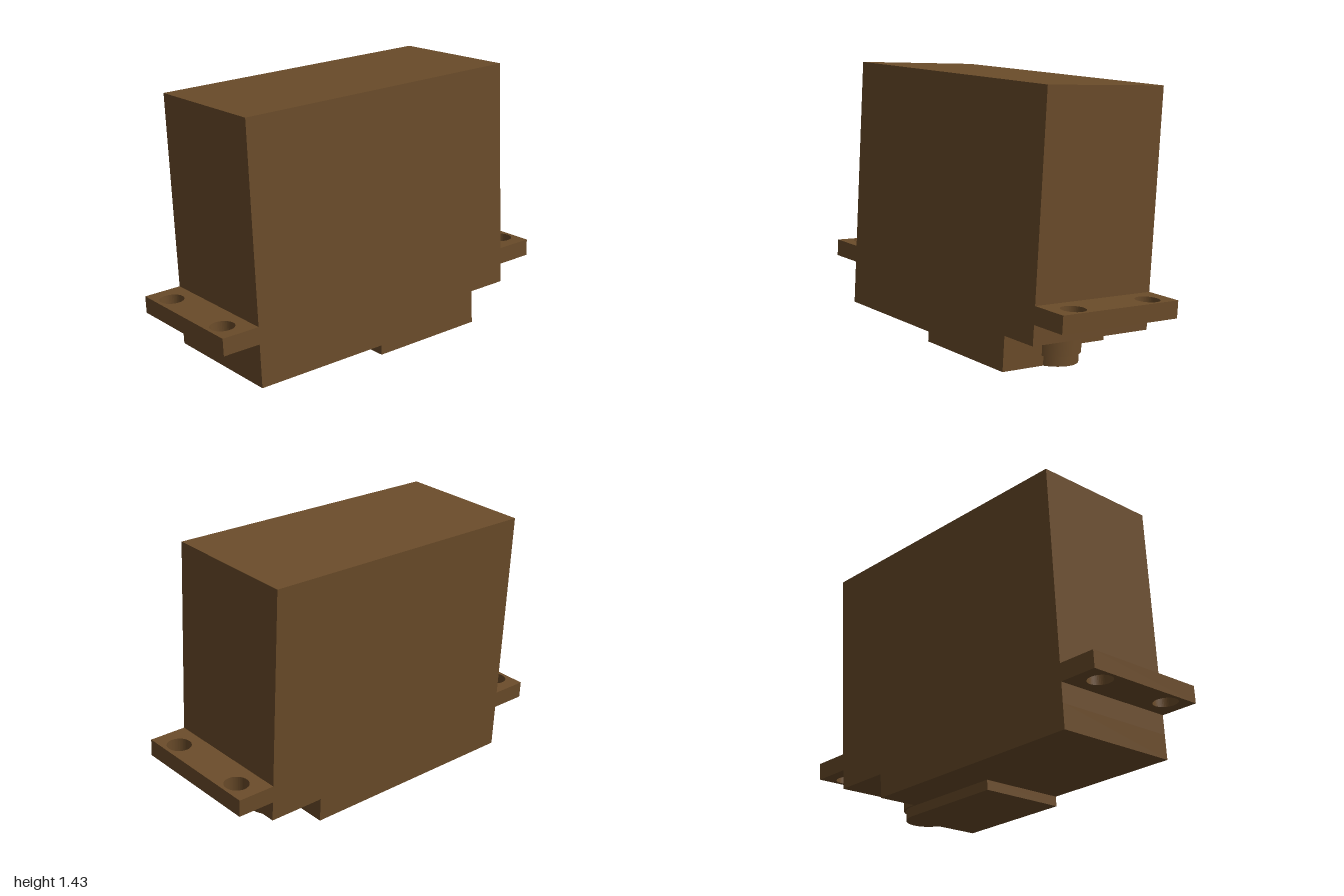
import * as THREE from 'three';

const W = 0.364;               // half depth of the case
const HUB = { x: 0.512, r: 0.143 };

// Extrude a plan drawn as (x, -z) upward from y0 to y1
function slab(shape, y0, y1) {
  const geo = new THREE.ExtrudeGeometry(shape, { depth: y1 - y0, bevelEnabled: false, curveSegments: 24 });
  return geo.rotateX(-Math.PI / 2).translate(0, y0, 0);
}

// Closed plan from [x, z] corners
function plan(points) {
  return new THREE.Shape(points.map(([x, z]) => new THREE.Vector2(x, -z)));
}

export function createModel() {
  const group = new THREE.Group();
  const material = new THREE.MeshStandardMaterial({ color: 0x6b4c2a });
  const add = (name, geo) => {
    const mesh = new THREE.Mesh(geo, material);
    mesh.name = name;
    group.add(mesh);
    return mesh;
  };

  // Main case
  add('case', slab(plan([[-0.797, W], [0.797, W], [0.797, -W], [-0.797, -W]]), 0.127, 1.344));

  // Lower case, cut away at one end around the hub
  add('lowerCase', slab(plan([
    [-0.797, W], [0.58, W], [0.58, 0], [0.487, 0], [0.487, -W], [-0.797, -W],
  ]), 0, 0.127));

  // Mounting tabs with two screw holes each
  for (const side of [-1, 1]) {
    const inner = side * 0.797, outer = side;
    const x0 = Math.min(inner, outer), x1 = Math.max(inner, outer);
    const tab = plan([[x0, W], [x1, W], [x1, -W], [x0, -W]]);
    for (const z of [-0.235, 0.235]) {
      const hole = new THREE.Path();
      hole.absarc(side * 0.919, -z, 0.063, 0, Math.PI * 2, true);
      tab.holes.push(hole);
    }
    add(side > 0 ? 'leftTab' : 'rightTab', slab(tab, 0.23, 0.32));
  }

  // Round hub in the cutaway
  const hub = new THREE.CylinderGeometry(HUB.r, HUB.r, 0.127, 40);
  add('hub', hub.translate(HUB.x, 0.0635, 0));

  // Raised gear cover, rounded around the hub
  const r = 0.132;
  const a = Math.acos((0.58 - HUB.x) / r);
  const cover = new THREE.Shape();
  cover.moveTo(-0.055, -W);
  cover.lineTo(0.58, -W);
  cover.lineTo(0.58, -r * Math.sin(a));
  cover.absarc(HUB.x, 0, r, -a, Math.PI / 2, false);
  cover.lineTo(-0.055, r);
  add('gearCover', slab(cover, -0.052, 0));

  // The whole unit leans slightly backward
  group.rotation.x = -0.0646;
  group.position.set(0, 0.0605, 0.042);
  const model = new THREE.Group();
  group.name = 'servo';
  model.add(group);
  return model;
}
